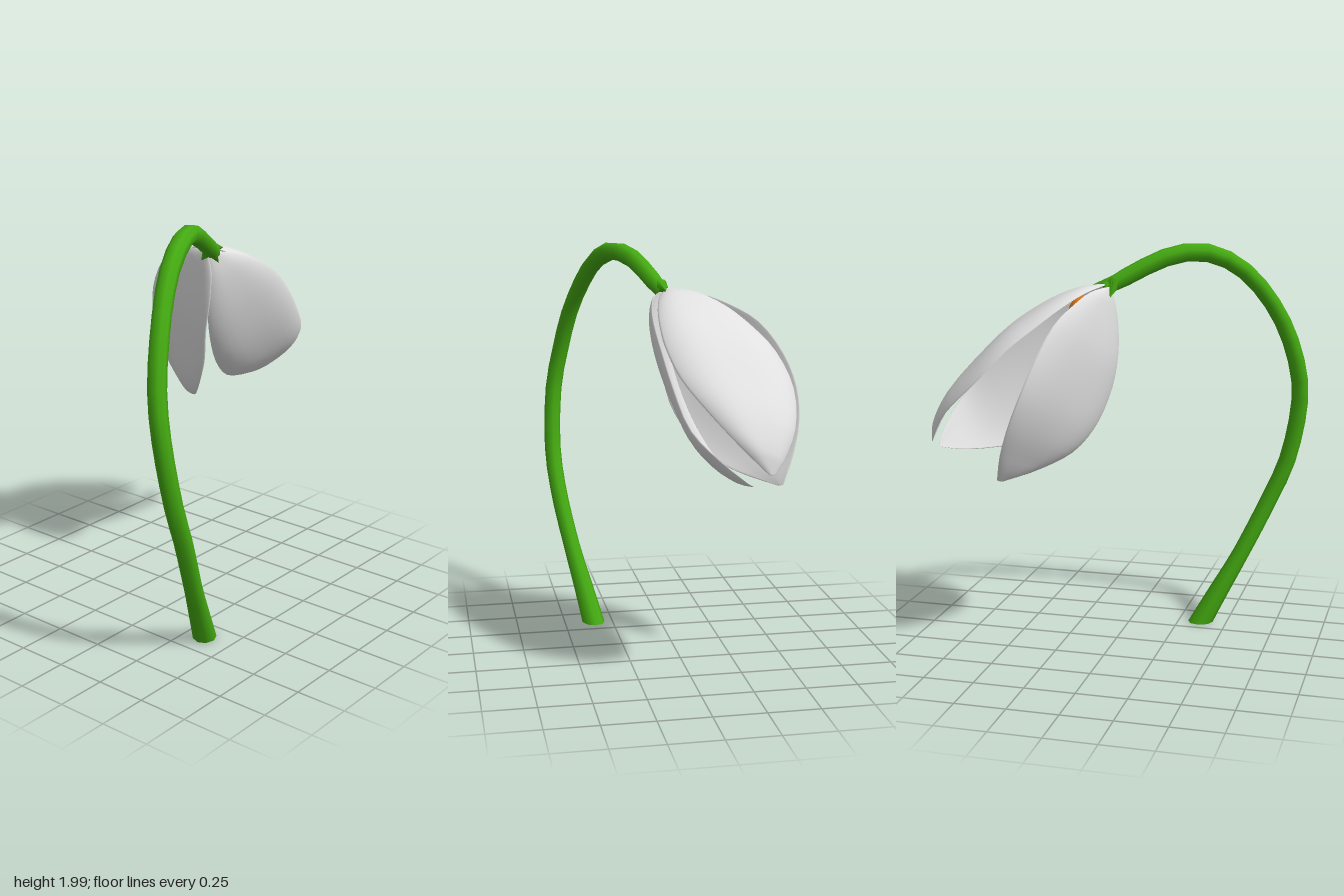
import * as THREE from 'three';

const V = (p) => new THREE.Vector3(...p);
const curve = (pts) => new THREE.CatmullRomCurve3(pts.map(V));
const AXIS = V([0.605, -0.73, -0.31]).normalize(); // direction the blossom hangs in

// Closed thin shell lofted between two edge curves: flat middle, rims curling inwards
function petalGeometry(edgeA, edgeB, bulge) {
  const rows = 24, sides = 28, thick = 0.015;
  const a = curve(edgeA), b = curve(edgeB), pos = [], idx = [];
  for (let i = 0; i <= rows; i++) {
    const pa = a.getPoint(i / rows), pb = b.getPoint(i / rows);
    const half = pa.clone().sub(pb).multiplyScalar(0.5);
    const mid = pa.clone().add(pb).multiplyScalar(0.5);
    const n = AXIS.clone().cross(half).normalize();
    const taper = Math.min(1, half.length() / 0.1);
    for (let j = 0; j < sides; j++) {
      const t = (j / sides) * Math.PI * 2, u = Math.cos(t);
      const h = bulge * 2 * half.length() * (1 - u ** 4) + Math.sin(t) * thick * taper;
      const p = mid.clone().addScaledVector(half, u).addScaledVector(n, h);
      pos.push(p.x, p.y, p.z);
    }
  }
  for (let i = 0; i < rows; i++) {
    for (let j = 0; j < sides; j++) {
      const k = (j + 1) % sides, r = i * sides, s = r + sides;
      idx.push(r + j, r + k, s + j, r + k, s + k, s + j);
    }
  }
  // end caps
  const last = rows * sides;
  for (let j = 1; j < sides - 1; j++) idx.push(0, j + 1, j, last, last + j, last + j + 1);
  const g = new THREE.BufferGeometry();
  g.setAttribute('position', new THREE.Float32BufferAttribute(pos, 3));
  g.setIndex(idx);
  g.computeVertexNormals();
  return g;
}

// Tube whose rings are scaled by radiusAt(t); the first ring is slid along the stem to the ground
function stemGeometry(path, rings, sides, radiusAt) {
  const g = new THREE.TubeGeometry(path, rings, 1, sides, false);
  const p = g.attributes.position, v = new THREE.Vector3(), start = path.getTangentAt(0);
  for (let i = 0; i <= rings; i++) {
    const c = path.getPointAt(i / rings);
    for (let j = 0; j <= sides; j++) {
      const k = i * (sides + 1) + j;
      v.fromBufferAttribute(p, k).sub(c).multiplyScalar(radiusAt(i / rings)).add(c);
      if (i === 0) v.addScaledVector(start, -v.y / start.y);
      p.setXYZ(k, v.x, v.y, v.z);
    }
  }
  return g;
}

export function createModel() {
  const group = new THREE.Group();
  const mat = (name, color) => {
    const m = new THREE.MeshStandardMaterial({ color });
    m.name = name;
    return m;
  };
  const green = mat('stem green', 0x44aa11);
  const white = mat('petal white', 0xe0e0e0);
  const orange = mat('pistil orange', 0xe07a1c);
  const add = (name, geometry, material) => {
    const mesh = new THREE.Mesh(geometry, material);
    mesh.name = name;
    group.add(mesh);
    return mesh;
  };

  // Arching stem
  const path = curve([
    [-0.365, 0, 0.35], [-0.46, 0.18, 0.392], [-0.555, 0.36, 0.435], [-0.69, 0.65, 0.49],
    [-0.78, 0.87, 0.508], [-0.838, 1.2, 0.49], [-0.82, 1.39, 0.455], [-0.75, 1.6, 0.41],
    [-0.64, 1.78, 0.35], [-0.54, 1.88, 0.305], [-0.43, 1.938, 0.26], [-0.33, 1.953, 0.215],
    [-0.2, 1.925, 0.155], [0.02, 1.81, 0.07], [0.07, 1.782, 0.05],
  ]);
  const radiusAt = (t) => 0.043 + 0.014 * Math.max(0, 1 - t / 0.14)
    + 0.004 * Math.max(0, 1 - Math.abs(t - 0.8) / 0.15) - 0.01 * Math.max(0, (t - 0.96) / 0.04);
  add('stem', stemGeometry(path, 26, 8, radiusAt), green);
  const foot = add('stemFoot', new THREE.CircleGeometry(0.06, 8), green);
  foot.rotation.x = Math.PI / 2;
  foot.position.set(-0.365, 0.001, 0.35);

  // Pointed sepals where the stem meets the petals
  const joint = V([0.03, 1.81, 0.06]);
  for (const tip of [[0.14, 1.795, 0.05], [0.07, 1.735, 0.08], [0.035, 1.74, 0.0]]) {
    const dir = V(tip).sub(joint), length = dir.length();
    const sepal = add('sepal', new THREE.ConeGeometry(0.038, length, 6), green);
    sepal.quaternion.setFromUnitVectors(V([0, 1, 0]), dir.clone().normalize());
    sepal.position.copy(joint).addScaledVector(dir, 0.5);
  }

  // Three cupped petals, each given by its two edges
  add('upperPetal', petalGeometry(
    [[0.06, 1.8, 0], [0.12, 1.775, -0.12], [0.205, 1.715, -0.24], [0.305, 1.63, -0.34], [0.42, 1.53, -0.42],
      [0.56, 1.38, -0.468], [0.73, 1.22, -0.43], [0.82, 1.1, -0.355], [0.85, 1.05, -0.31]],
    [[0.07, 1.8, 0.04], [0.16, 1.77, 0.085], [0.28, 1.72, 0.115], [0.39, 1.655, 0.125], [0.49, 1.58, 0.12],
      [0.62, 1.455, 0.075], [0.75, 1.31, -0.035], [0.835, 1.17, -0.16], [0.86, 1.05, -0.28]], 0.1), white);
  add('frontPetal', petalGeometry(
    [[0.07, 1.79, 0.06], [0.16, 1.775, 0.11], [0.27, 1.735, 0.14], [0.39, 1.67, 0.15], [0.52, 1.57, 0.14],
      [0.66, 1.425, 0.115], [0.8, 1.25, 0.06], [0.86, 1.12, -0.06], [0.87, 1.02, -0.18]],
    [[0.04, 1.78, 0.04], [0.04, 1.65, 0.04], [0.06, 1.5, 0.02], [0.12, 1.34, -0.015], [0.24, 1.17, -0.07],
      [0.42, 1.04, -0.135], [0.6, 1, -0.17], [0.76, 0.99, -0.2], [0.85, 1, -0.21]], 0.075), white);
  add('backPetal', petalGeometry(
    [[0.04, 1.79, 0.03], [0.025, 1.7, 0.07], [0.01, 1.55, 0.075], [0.012, 1.4, 0.05], [0.045, 1.24, 0.015],
      [0.1, 1.1, -0.06], [0.18, 1, -0.15], [0.3, 0.94, -0.27], [0.45, 0.9, -0.43]],
    [[0.06, 1.79, 0], [0.1, 1.778, -0.12], [0.145, 1.73, -0.255], [0.2, 1.65, -0.39], [0.26, 1.5, -0.5],
      [0.315, 1.35, -0.55], [0.375, 1.2, -0.55], [0.435, 1.04, -0.505], [0.47, 0.91, -0.45]], 0.05), white);

  // Round pistil inside the blossom
  add('pistil', new THREE.SphereGeometry(0.08, 24, 16), orange).position.set(0.155, 1.67, -0.02);

  return group;
}
